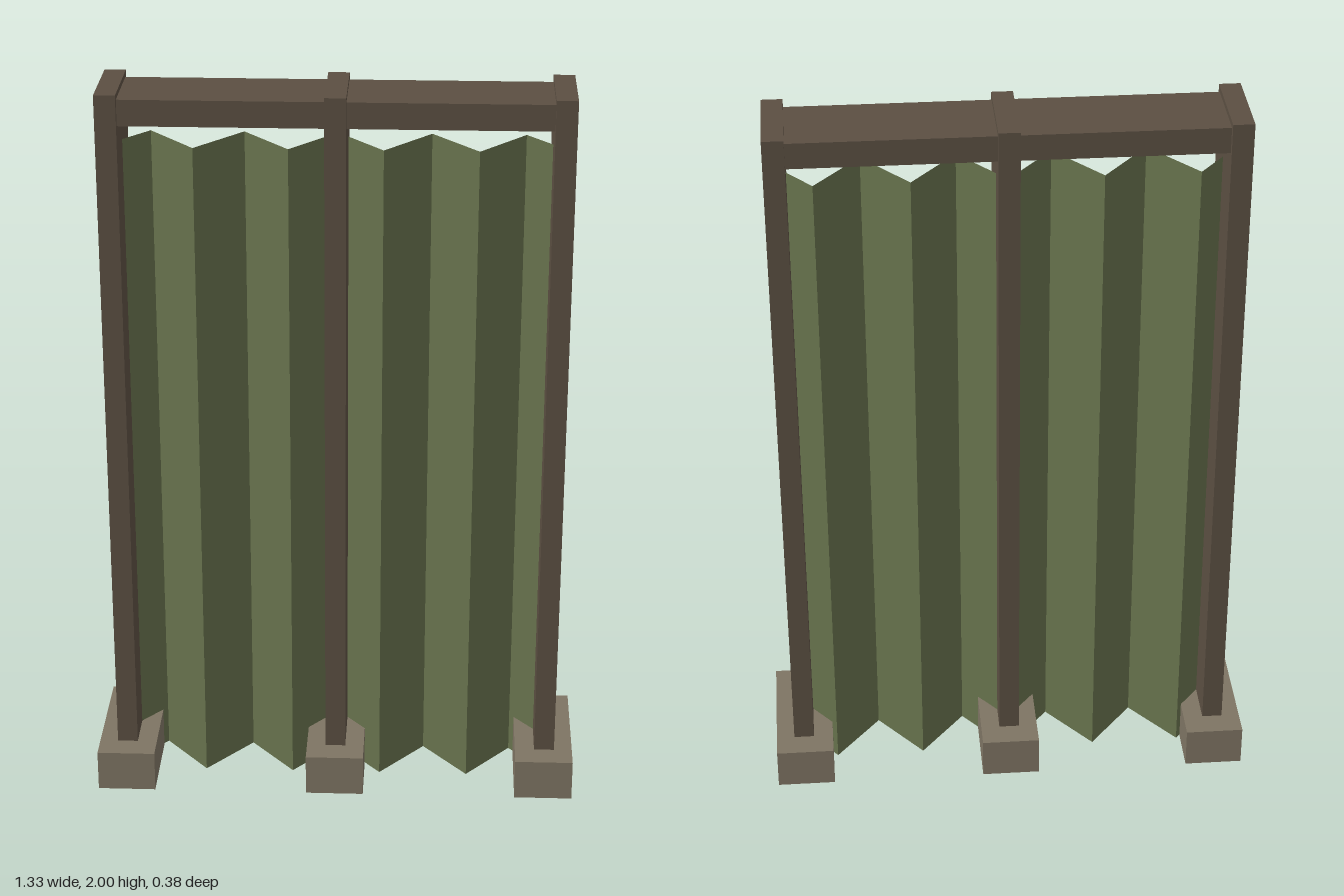
import * as THREE from 'three';

export function createModel() {
  const group = new THREE.Group();
  const wood = new THREE.MeshStandardMaterial({ color: 0x5b4f42 });
  wood.name = 'dark wood';
  const stone = new THREE.MeshStandardMaterial({ color: 0x7e7463 });
  stone.name = 'stone';
  const cloth = new THREE.MeshStandardMaterial({ color: 0x66714c, side: THREE.DoubleSide });
  cloth.name = 'green cloth';

  const add = (name, geometry, material, x = 0, y = 0) => {
    const mesh = new THREE.Mesh(geometry, material);
    mesh.name = name;
    mesh.position.set(x, y, 0);
    group.add(mesh);
  };

  // Three posts, each standing in a block foot
  const names = ['right', 'middle', 'left'];
  [-1, 0, 1].forEach((side, i) => {
    add(names[i] + 'Foot', new THREE.BoxGeometry(0.16, 0.115, 0.38), stone, side * 0.585, 0.0575);
    add(names[i] + 'Post', new THREE.BoxGeometry(0.056, 1.995, 0.24), wood, side * 0.587, 1.0025);
  });

  // Flat beam joining the posts
  add('topBeam', new THREE.BoxGeometry(1.23, 0.07, 0.21), wood, 0, 1.95);

  // Pleated curtain: a sheet folded into a zigzag of flat panels
  const folds = 10, top = 1.85, bottom = 0.003;
  let sheet = new THREE.PlaneGeometry(1.232, top - bottom, folds, 1);
  const pos = sheet.attributes.position;
  for (let i = 0; i < pos.count; i++) {
    pos.setZ(i, (i % (folds + 1)) % 2 === 0 ? 0.075 : -0.075);
  }
  sheet = sheet.toNonIndexed();
  sheet.computeVertexNormals();
  add('pleatedCurtain', sheet, cloth, 0, (top + bottom) / 2);

  return group;
}
